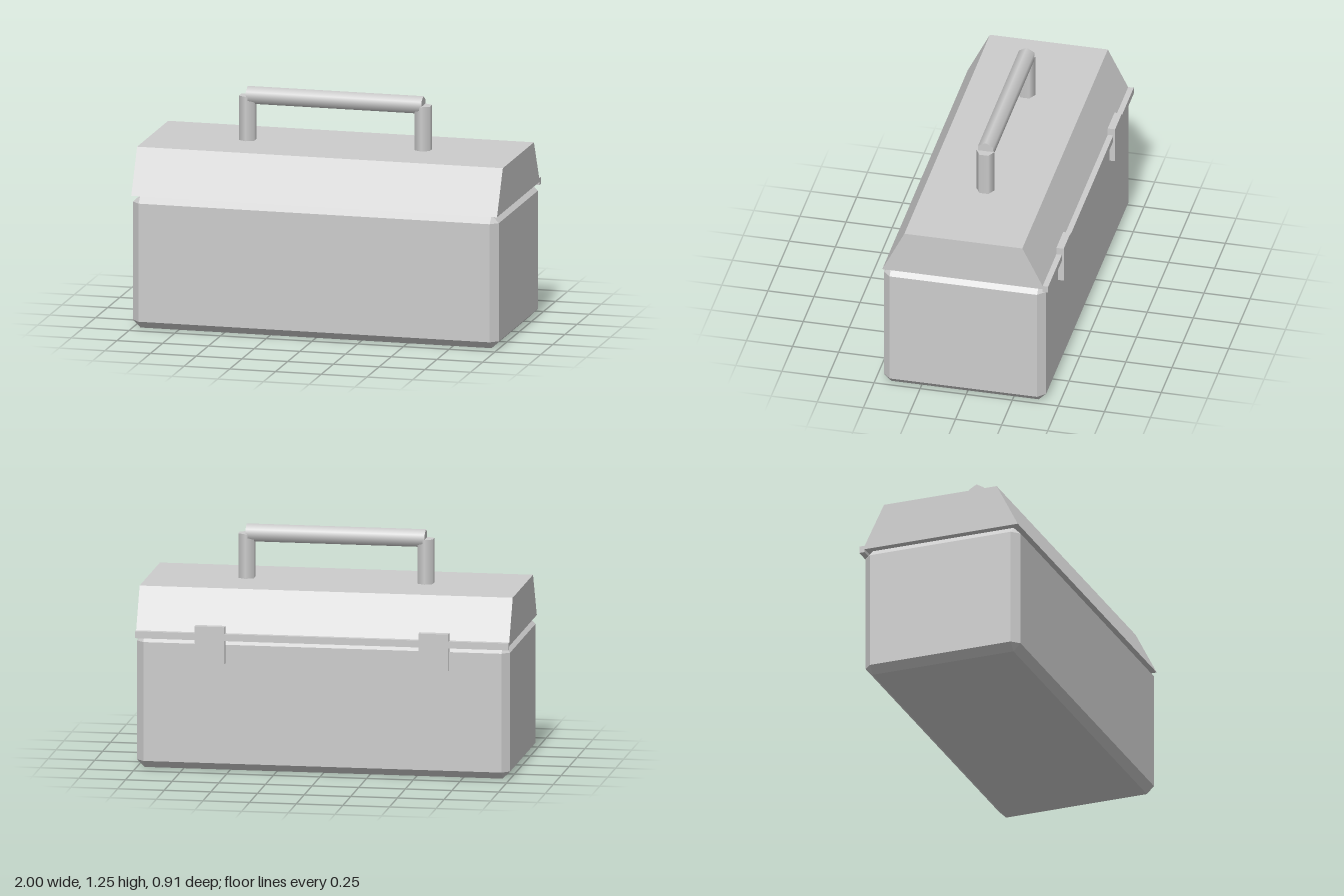
import * as THREE from 'three';
import { ConvexGeometry } from 'three/addons/geometries/ConvexGeometry.js';

const Z = 0.0155; // depth centre of the box and handle

// Box with every edge cut at 45 degrees
function chamferedBox(w, h, d, b) {
  const points = [];
  for (const sx of [-1, 1]) for (const sy of [-1, 1]) for (const sz of [-1, 1]) {
    const x = w / 2, y = h / 2, z = d / 2;
    points.push(
      new THREE.Vector3(sx * x, sy * (y - b), sz * (z - b)),
      new THREE.Vector3(sx * (x - b), sy * y, sz * (z - b)),
      new THREE.Vector3(sx * (x - b), sy * (y - b), sz * z));
  }
  return new ConvexGeometry(points);
}

export function createModel() {
  const model = new THREE.Group();
  model.name = 'toolbox';
  const grey = new THREE.MeshStandardMaterial({ color: 0xcccccc });
  grey.name = 'grey metal';

  const add = (name, geometry, x, y, z) => {
    const mesh = new THREE.Mesh(geometry, grey);
    mesh.name = name;
    mesh.position.set(x, y, z);
    model.add(mesh);
    return mesh;
  };

  // Lower case
  add('body', chamferedBox(2, 0.72, 0.88, 0.04), 0, 0.36, Z);

  // Lid: trapezoid section swept along x
  const section = new THREE.Shape([
    new THREE.Vector2(-0.44, 0), new THREE.Vector2(0.44, 0),
    new THREE.Vector2(0.32, 0.24), new THREE.Vector2(-0.32, 0.24),
  ]);
  const lid = new THREE.ExtrudeGeometry(section, { depth: 2, bevelEnabled: false });
  lid.translate(0, 0, -1).rotateY(Math.PI / 2);
  add('lid', lid, 0, 0.72, Z);

  // Rail along the closing edge, with two latch plates over it
  add('rail', new THREE.BoxGeometry(2, 0.037, 0.03), 0, 0.722, -0.43);
  for (const side of [-1, 1]) {
    add('latch', new THREE.BoxGeometry(0.16, 0.2, 0.04), side * 0.6, 0.68, -0.435);
  }

  // Handle: hexagonal posts and grip
  for (const side of [-1, 1]) {
    add('handlePost', new THREE.CylinderGeometry(0.048, 0.048, 0.24, 6), side * 0.48, 1.08, Z);
  }
  const grip = new THREE.CylinderGeometry(0.048, 0.048, 0.96, 6, 1, false, Math.PI / 2);
  grip.rotateZ(Math.PI / 2);
  add('handleGrip', grip, 0, 1.202, Z);

  return model;
}
